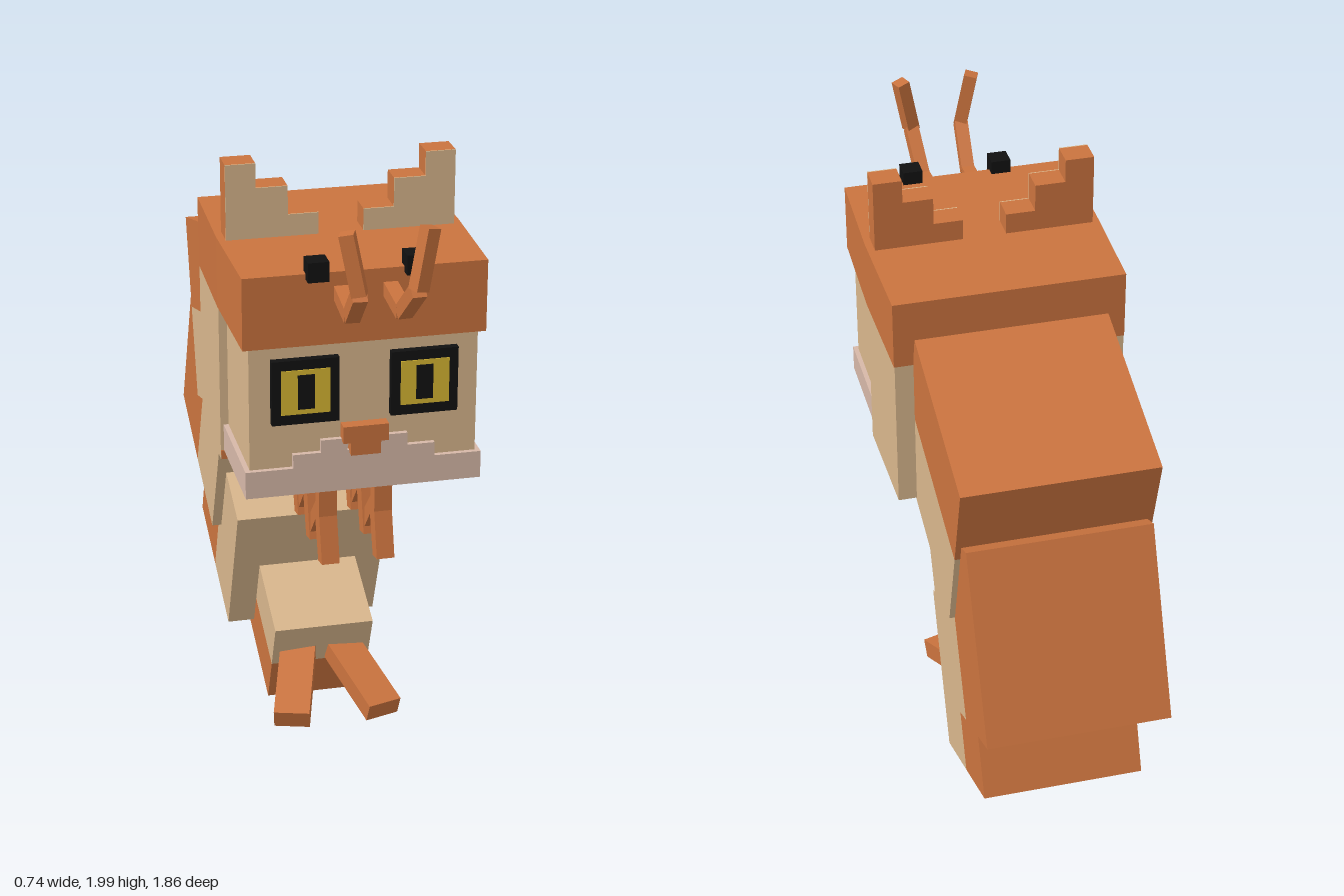
import * as THREE from 'three';

export function createModel() {
  const model = new THREE.Group();
  const mat = (name, color) => {
    const m = new THREE.MeshStandardMaterial({ color });
    m.name = name;
    return m;
  };
  const orange = mat('orange fur', 0xca733e);
  const cream = mat('cream fur', 0xd8b68c);
  const pink = mat('pale pink', 0xd6b8a8);
  const black = mat('black', 0x111111);
  const yellow = mat('eye yellow', 0xd6b632);

  const add = (name, geometry, material, parent = model) => {
    const mesh = new THREE.Mesh(geometry, material);
    mesh.name = name;
    parent.add(mesh);
    return mesh;
  };
  // Box given by its min and max on each axis
  const box = (name, material, [x0, x1], [y0, y1], [z0, z1], parent = model) => {
    const g = new THREE.BoxGeometry(Math.abs(x1 - x0), y1 - y0, z1 - z0);
    g.translate((x0 + x1) / 2, (y0 + y1) / 2, (z0 + z1) / 2);
    return add(name, g, material, parent);
  };
  // Upright prism from a mirrored plan of [half width, z] points
  const prism = (name, material, plan, y0, y1) => {
    const right = plan.map(([x, z]) => new THREE.Vector2(x, -z));
    const left = plan.map(([x, z]) => new THREE.Vector2(-x, -z)).reverse();
    const g = new THREE.ExtrudeGeometry(new THREE.Shape([...right, ...left]), { depth: y1 - y0, bevelEnabled: false });
    g.rotateX(-Math.PI / 2).translate(0, y0, 0);
    return add(name, g, material);
  };
  // Square bar between two points
  const bar = (name, material, a, b, w, h, parent = model) => {
    const from = new THREE.Vector3(...a), to = new THREE.Vector3(...b);
    const mesh = add(name, new THREE.BoxGeometry(w, h, from.distanceTo(to)), material, parent);
    mesh.position.copy(from).lerp(to, 0.5);
    mesh.lookAt(to);
    return mesh;
  };

  // Head
  prism('headCap', orange, [[0.36, 0.632], [0.368, 0.28], [0.36, -0.082]], 1.55, 1.77);
  prism('headBack', cream, [[0.365, 0.28], [0.358, -0.082]], 1.05, 1.55);
  box('headBackTrim', orange, [-0.364, 0.364], [1.051, 1.08], [0.278, 0.284]);
  box('face', cream, [-0.34, 0.34], [1.085, 1.55], [0.28, 0.615]);

  // Muzzle with stepped front
  box('muzzle', pink, [-0.355, 0.355], [1.08, 1.165], [0.28, 0.63]);
  box('muzzleStep', pink, [-0.213, 0.213], [1.165, 1.208], [0.61, 0.63]);
  for (const s of [-1, 1]) box('muzzleTip', pink, [s * 0.05, s * 0.13], [1.208, 1.247], [0.61, 0.63]);
  box('nose', orange, [-0.068, 0.068], [1.24, 1.293], [0.61, 0.653]);
  box('noseTip', orange, [-0.045, 0.045], [1.2, 1.24], [0.61, 0.653]);

  // Leg outline in (z, y), forked at the foot
  const legShape = new THREE.Shape([
    [-0.026, 1.1], [0.026, 1.1], [0.026, 0.945], [0.065, 0.803], [0.012, 0.792],
    [-0.028, 0.912], [-0.097, 0.835], [-0.097, 0.902], [-0.026, 0.975],
  ].map(([z, y]) => new THREE.Vector2(-z, y)));
  const legGeometry = new THREE.ExtrudeGeometry(legShape, { depth: 0.055, bevelEnabled: false });
  legGeometry.translate(0, 0, -0.0275).rotateY(Math.PI / 2);

  for (const s of [-1, 1]) {
    const side = s > 0 ? 'left' : 'right';

    // Eyes
    const eye = new THREE.Group();
    eye.name = side + 'Eye';
    model.add(eye);
    box('eyeFrame', black, [s * 0.077, s * 0.277], [1.31, 1.51], [0.61, 0.638], eye);
    box('iris', yellow, [s * 0.105, s * 0.25], [1.342, 1.48], [0.635, 0.641], eye);
    box('pupil', black, [s * 0.151, s * 0.201], [1.358, 1.465], [0.638, 0.644], eye);

    // Stepped ears, cream in front
    const ear = new THREE.Group();
    ear.name = side + 'Ear';
    model.add(ear);
    [[0.255, 0.345, 2], [0.16, 0.255, 1.925], [0.068, 0.16, 1.837]].forEach(([x0, x1, top]) => {
      box('earStep', orange, [s * x0, s * x1], [1.765, top], [0.235, 0.312], ear);
      box('earFront', cream, [s * x0, s * x1], [1.765, top], [0.312, 0.316], ear);
    });

    // Antennae and the small cubes beside them
    const path = [[0.072, 1.71, 0.6], [0.075, 1.69, 0.775], [0.083, 1.803, 0.903], [0.117, 1.98, 0.89]];
    for (let i = 0; i < 3; i++) {
      const [a, b] = [path[i], path[i + 1]].map(([x, y, z]) => [s * x, y, z]);
      bar(side + 'Antenna', orange, a, b, 0.042, 0.042);
    }
    box(side + 'BrowCube', black, [s * 0.113, s * 0.175], [1.753, 1.813], [0.6, 0.662]);

    // Legs
    for (let i = 0; i < 4; i++) {
      add(side + 'Leg', legGeometry, orange).position.set(s * 0.085, 0, 0.5 - i * 0.172);
    }

    // Tail prongs
    bar(side + 'TailProng', orange, [s * 0.065, 0.212, 0.0], [s * 0.152, 0.108, 0.298], 0.115, 0.065);
  }

  // Curling body: each square segment is half orange, half cream
  const segment = (name, halfWidth, size, y, z, degrees, split) => {
    const g = new THREE.Group();
    g.name = name;
    g.position.set(0, y, z);
    g.rotation.x = THREE.MathUtils.degToRad(degrees);
    model.add(g);
    const w = [-halfWidth, halfWidth], h = size / 2, all = [-h, h], low = [-h, 0], high = [0, h];
    if (split === 'back') {
      box('back', orange, w, all, low, g);
      box('belly', cream, w, all, high, g);
    } else {
      box('upper', split === 'top' ? orange : cream, w, high, all, g);
      box('lower', split === 'top' ? cream : orange, w, low, all, g);
    }
  };
  segment('upperBody', 0.3, 0.6, 1.284, -0.313, -15.9, 'top');
  segment('middleBody', 0.283, 0.6, 0.886, -0.528, 24.4, 'back');
  segment('lowerBody', 0.252, 0.525, 0.514, -0.414, 22.6, 'back');
  segment('tail', 0.163, 0.345, 0.231, -0.13, 22.6, 'bottom');

  return model;
}
